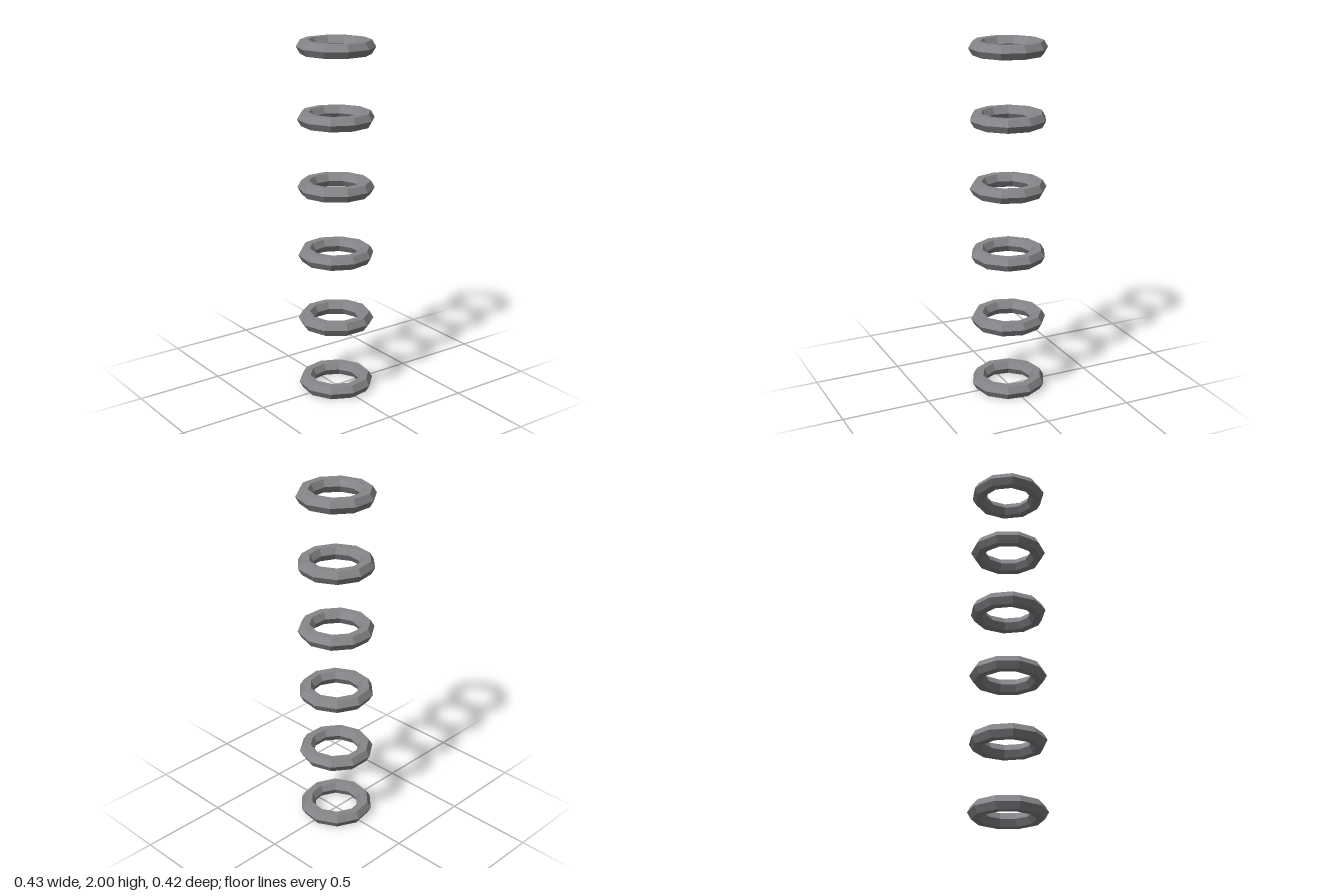
import * as THREE from 'three';

export function createModel() {
  const model = new THREE.Group();
  const metal = new THREE.MeshStandardMaterial({ color: 0x87868a });
  metal.name = 'grey metal';
  metal.flatShading = true;

  // Ten-sided ring with a hexagonal section, lying flat
  const tube = 0.043;
  const halfHeight = tube * Math.sin(Math.PI / 3);
  const ringGeometry = new THREE.TorusGeometry(0.17, tube, 6, 10).rotateX(-Math.PI / 2);

  // Evenly spaced stack, every second ring turned slightly
  const count = 6;
  for (let i = 0; i < count; i++) {
    const ring = new THREE.Mesh(ringGeometry, metal);
    ring.name = `ring${i + 1}`;
    ring.position.y = halfHeight + (i * (2 - 2 * halfHeight)) / (count - 1);
    ring.rotation.y = i % 2 === 0 ? THREE.MathUtils.degToRad(10) : 0;
    model.add(ring);
  }
  return model;
}
